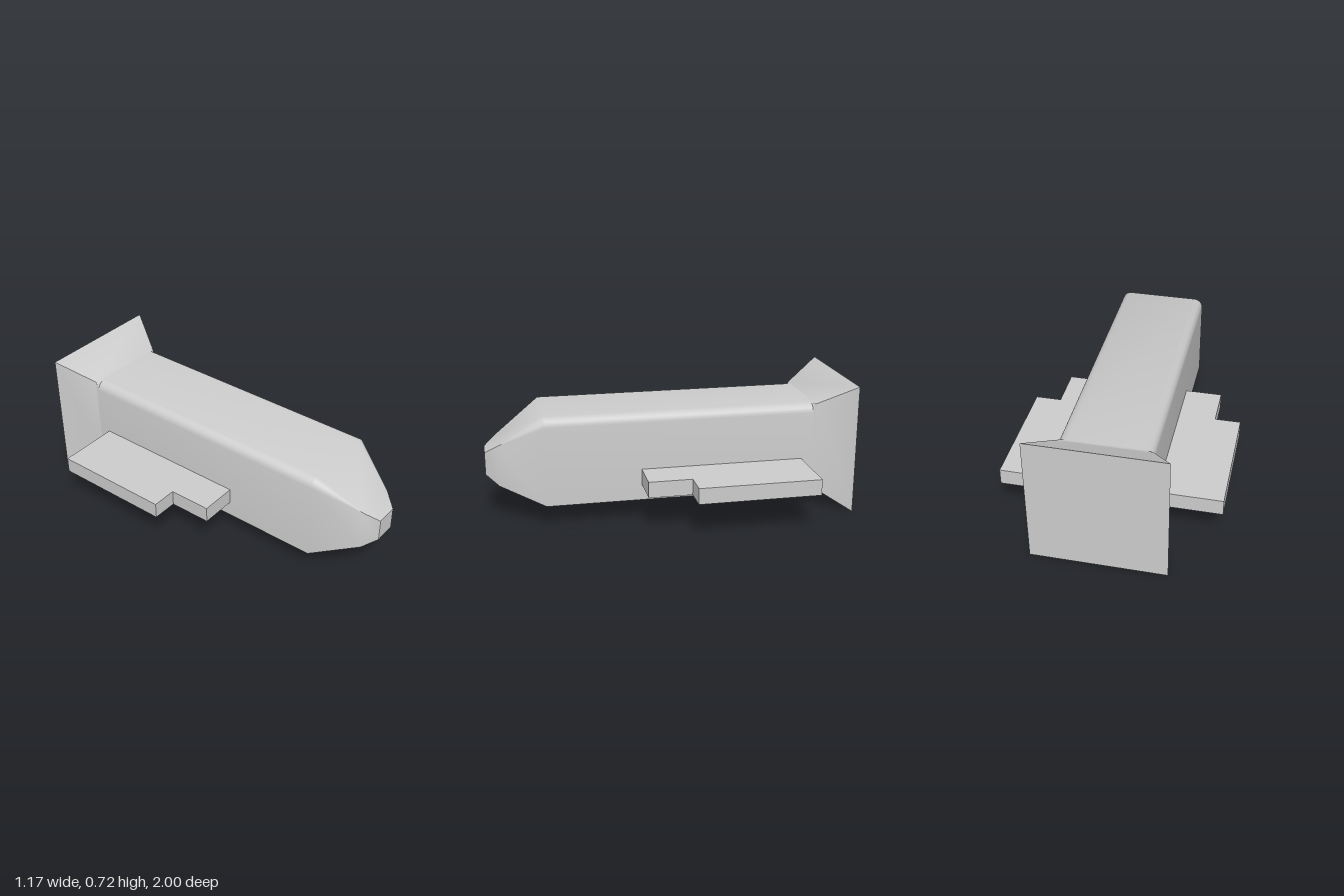
import * as THREE from 'three';
import { toCreasedNormals } from 'three/addons/utils/BufferGeometryUtils.js';

const ARC = 6; // segments per rounded top corner

// Box-like section: sharp bottom corners, top corners rounded by r, counter-clockwise from the front
function section({ z, w, y0, y1, r }) {
  const pts = [[-w, y0, z], [w, y0, z]];
  for (const [side, start] of [[1, 0], [-1, Math.PI / 2]]) {
    for (let i = 0; i <= ARC; i++) {
      const a = start + (i / ARC) * Math.PI / 2;
      pts.push([side * (w - r) + r * Math.cos(a), y1 - r + r * Math.sin(a), z]);
    }
  }
  return pts;
}

// Skin sections running front to back and close both ends
function loft(rings) {
  const pos = [];
  const same = (p, q) => Math.hypot(p[0] - q[0], p[1] - q[1], p[2] - q[2]) < 1e-6;
  const tri = (a, b, c) => {
    if (!same(a, b) && !same(b, c) && !same(a, c)) pos.push(...a, ...b, ...c);
  };
  const n = rings[0].length;
  for (let i = 0; i < rings.length - 1; i++) {
    for (let j = 0; j < n; j++) {
      const k = (j + 1) % n;
      const a = rings[i][j], b = rings[i][k], c = rings[i + 1][j], d = rings[i + 1][k];
      tri(a, c, b);
      tri(b, c, d);
    }
  }
  const front = rings[0], back = rings[rings.length - 1];
  for (let j = 1; j < n - 1; j++) {
    tri(front[0], front[j], front[j + 1]);
    tri(back[0], back[j + 1], back[j]);
  }
  const geo = new THREE.BufferGeometry();
  geo.setAttribute('position', new THREE.Float32BufferAttribute(pos, 3));
  return toCreasedNormals(geo, THREE.MathUtils.degToRad(40));
}

export function createModel() {
  const group = new THREE.Group();
  group.name = 'spacecraft';
  const material = new THREE.MeshStandardMaterial({ color: 0xcccccc });

  // Tapered nose, long body and flared square tail
  const hull = new THREE.Mesh(loft([
    { z: 1.0, w: 0.062, y0: 0.258, y1: 0.382, r: 0 },
    { z: 0.93, w: 0.115, y0: 0.205, y1: 0.432, r: 0 },
    { z: 0.69, w: 0.243, y0: 0.118, y1: 0.605, r: 0.05 },
    { z: -0.785, w: 0.243, y0: 0.118, y1: 0.605, r: 0.05 },
    { z: -0.8, w: 0.243, y0: 0.118, y1: 0.605, r: 0 },
    { z: -1.0, w: 0.358, y0: 0, y1: 0.72, r: 0 },
  ].map(section)), material);
  hull.name = 'hull';
  group.add(hull);

  // Stepped side wings, drawn in plan (x, -z) and extruded upward
  for (const s of [1, -1]) {
    const plan = [[0.2, -0.173], [0.445, -0.173], [0.445, 0.063], [0.585, 0.063], [0.585, 0.728], [0.2, 0.728]];
    const shape = new THREE.Shape(plan.map(([x, y]) => new THREE.Vector2(s * x, y)));
    const geo = new THREE.ExtrudeGeometry(shape, { depth: 0.088, bevelEnabled: false });
    geo.rotateX(-Math.PI / 2);
    const wing = new THREE.Mesh(geo, material);
    wing.name = s > 0 ? 'leftWing' : 'rightWing';
    wing.position.y = 0.206;
    group.add(wing);
  }
  return group;
}
